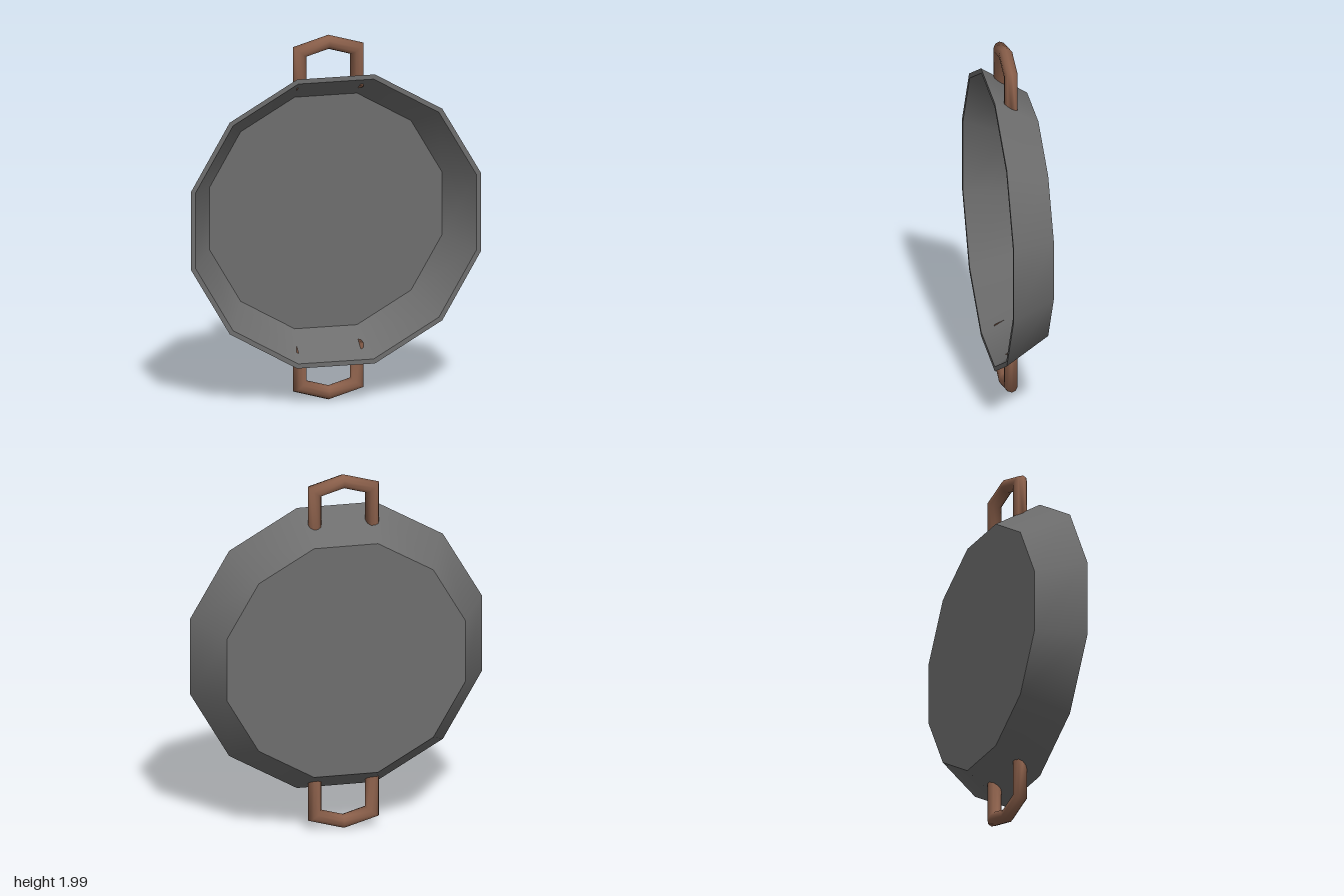
import * as THREE from 'three';

const CENTER_Y = 1.005;
const SIDES = 12;
const WALL_SLOPE = 0.6; // outward flare of the wall per unit of depth

// Sharp profile corners are doubled so the wall stays smooth only around the pan
function makePan(material) {
  const k = 1 / Math.cos(Math.PI / SIDES); // flat-to-flat radius -> corner radius
  const corners = [[0.645, -0.12], [0.79, 0.12], [0.765, 0.12], [0.633, -0.1]];
  const profile = [new THREE.Vector2(0, -0.12)];
  for (const [r, z] of corners) {
    profile.push(new THREE.Vector2(r * k, z), new THREE.Vector2(r * k, z));
  }
  profile.push(new THREE.Vector2(0, -0.1));
  const geometry = new THREE.LatheGeometry(profile, SIDES, Math.PI / SIDES);
  geometry.rotateX(Math.PI / 2);
  const pan = new THREE.Mesh(geometry, material);
  pan.name = 'pan';
  pan.position.y = CENTER_Y;
  return pan;
}

// Mitred round bar swept along a planar path, its ends cut along the pan wall
function makeHandle(material, flip) {
  const radius = 0.037, sides = 10, depth = 0.022;
  const path = [[-0.173, 0.709], [-0.173, 0.913], [-0.017, 0.958], [0.138, 0.913], [0.138, 0.709]]
    .map(([x, y]) => new THREE.Vector2(x, y));
  const positions = [], indices = [];
  path.forEach((p, i) => {
    const a = path[Math.max(i - 1, 0)], b = path[Math.min(i + 1, path.length - 1)];
    const d1 = p.clone().sub(a).normalize(), d2 = b.clone().sub(p).normalize();
    const dir = d1.clone().add(d2).normalize();
    const stretch = 1 / dir.dot(i === 0 ? d2 : d1);
    const isEnd = i === 0 || i === path.length - 1;
    for (let s = 0; s < sides; s++) {
      const t = (s / sides) * Math.PI * 2;
      const side = Math.cos(t) * radius * stretch, z = Math.sin(t) * radius;
      const x = p.x - dir.y * side;
      let y = p.y + dir.x * side;
      // follow the wall, dipping slightly through it on the outer side
      if (isEnd) y += z * WALL_SLOPE - (Math.abs(x + 0.017) - 0.155) * 0.2;
      positions.push(x, y * flip, z + depth);
    }
  });
  const quad = (a, b, c, d) => (flip > 0
    ? indices.push(a, b, c, b, d, c)
    : indices.push(a, c, b, b, c, d));
  for (let i = 0; i < path.length - 1; i++) {
    for (let s = 0; s < sides; s++) {
      const n = (s + 1) % sides;
      quad(i * sides + s, i * sides + n, (i + 1) * sides + s, (i + 1) * sides + n);
    }
  }
  // End caps
  const last = (path.length - 1) * sides;
  for (let s = 1; s < sides - 1; s++) {
    if (flip > 0) indices.push(0, s + 1, s, last, last + s, last + s + 1);
    else indices.push(0, s, s + 1, last, last + s + 1, last + s);
  }
  const geometry = new THREE.BufferGeometry();
  geometry.setAttribute('position', new THREE.Float32BufferAttribute(positions, 3));
  geometry.setIndex(indices);
  geometry.computeVertexNormals();
  const handle = new THREE.Mesh(geometry, material);
  handle.name = flip > 0 ? 'upperHandle' : 'lowerHandle';
  handle.position.y = CENTER_Y;
  return handle;
}

export function createModel() {
  const iron = new THREE.MeshStandardMaterial({ color: 0x6e6e6e });
  const wood = new THREE.MeshStandardMaterial({ color: 0x8a5f4a, side: THREE.DoubleSide });
  const model = new THREE.Group();
  model.name = 'twoHandledPan';
  model.add(makePan(iron), makeHandle(wood, 1), makeHandle(wood, -1));
  return model;
}
